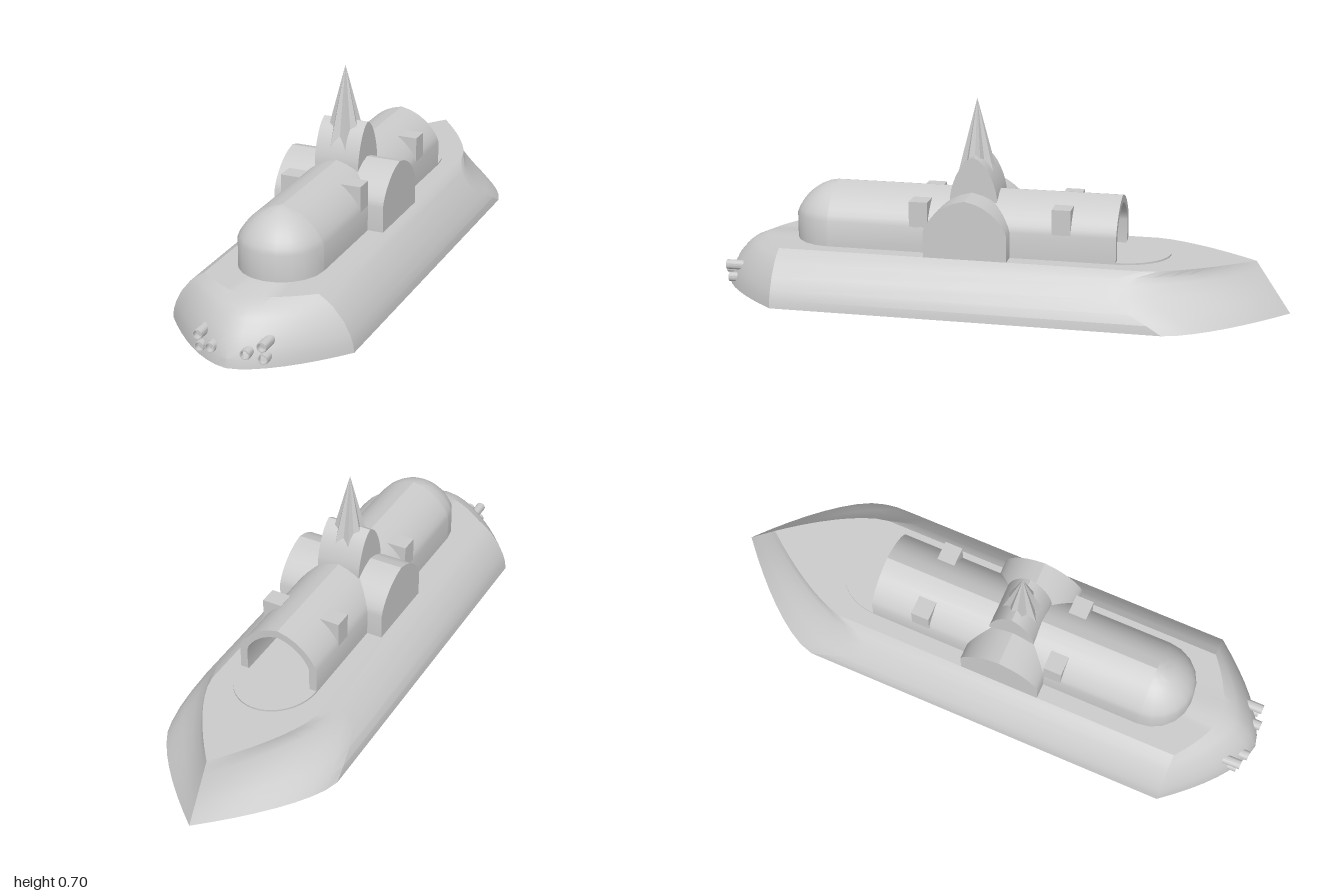
import * as THREE from 'three';
import { toCreasedNormals } from 'three/addons/utils/BufferGeometryUtils.js';

const grey = new THREE.MeshStandardMaterial({ color: 0xcccccc });
const greyDouble = new THREE.MeshStandardMaterial({ color: 0xcccccc, side: THREE.DoubleSide });
const DECK = 0.18;

function part(parent, name, geometry, material = grey) {
  const mesh = new THREE.Mesh(geometry, material);
  mesh.name = name;
  parent.add(mesh);
  return mesh;
}

// Hull levels: height, half width, bow z, z where the stern taper begins
const LEVELS = [
  [0, 0.32, 1.0, -0.6], [0.03, 0.316, 0.995, -0.55], [0.06, 0.306, 0.982, -0.49],
  [0.1, 0.285, 0.96, -0.42], [0.14, 0.253, 0.925, -0.41], [0.16, 0.23, 0.9, -0.44], [DECK, 0.2, 0.85, -0.52],
];

// Closed outline of one hull level, from the bow round by +x to the stern and back
function hullRing([y, w, bow, taper]) {
  const half = [], n = 8;
  const tip = -1 + 0.12 * y / DECK;
  for (let i = 0; i <= n; i++) {
    const u = i / n;
    half.push([w * u, y, 0.75 + (bow - 0.75) * (1 - u ** 1.6)]);
  }
  for (let i = 0; i <= n; i++) {
    const s = i / n;
    half.push([w * (1 - s ** 1.45), y, taper + (tip - taper) * s]);
  }
  const mirrored = half.slice(1, -1).reverse().map(([x, py, z]) => [-x, py, z]);
  return [...half, ...mirrored];
}

function hullGeometry() {
  const rings = LEVELS.map(hullRing);
  const n = rings[0].length, top = (rings.length - 1) * n;
  const positions = rings.flat(2), index = [];
  const low = rings.length * n, high = low + 1;
  positions.push(0, 0, 0, 0, DECK, 0);
  for (let i = 0; i < n; i++) {
    const j = (i + 1) % n;
    for (let r = 0; r < top; r += n) index.push(r + i, r + j, r + n + j, r + i, r + n + j, r + n + i);
    index.push(high, top + i, top + j, low, j, i);
  }
  const g = new THREE.BufferGeometry();
  g.setAttribute('position', new THREE.Float32BufferAttribute(positions, 3));
  g.setIndex(index);
  return toCreasedNormals(g, 0.45);
}

// Right half of the slightly pointed roof curve, spring line to apex
function archHalf(w, spring, apex) {
  return [[1, 0], [0.95, 0.17], [0.87, 0.33], [0.76, 0.5], [0.62, 0.66], [0.46, 0.8], [0.25, 0.92], [0, 1]]
    .map(([u, v]) => new THREE.Vector2(w * u, spring + (apex - spring) * v));
}

// Full arch outline standing on base
function archPoints(w, base, spring, apex) {
  const half = archHalf(w, spring, apex);
  return [new THREE.Vector2(w, base), ...half,
    ...half.slice(0, -1).reverse().map((p) => new THREE.Vector2(-p.x, p.y)), new THREE.Vector2(-w, base)];
}

function extrude(points, depth) {
  return new THREE.ExtrudeGeometry(new THREE.Shape(points), { depth, bevelEnabled: false });
}

// Arched block running across the ship
function crossBlock(points, halfLength, z) {
  const g = extrude(points, halfLength * 2).translate(0, 0, -halfLength);
  return toCreasedNormals(g.rotateY(Math.PI / 2).translate(0, 0, z), 0.4);
}

// Pleated cone with eight ridges
function spireGeometry(height, radius) {
  const positions = [], n = 16;
  const corner = (i) => {
    const a = (i / n) * Math.PI * 2, r = i % 2 ? radius : radius * 0.78;
    return [r * Math.sin(a), 0, r * Math.cos(a)];
  };
  for (let i = 0; i < n; i++) {
    positions.push(...corner(i), ...corner(i + 1), 0, height, 0);
    positions.push(...corner(i + 1), ...corner(i), 0, 0, 0);
  }
  const g = new THREE.BufferGeometry();
  g.setAttribute('position', new THREE.Float32BufferAttribute(positions, 3));
  g.computeVertexNormals();
  return g;
}

export function createModel() {
  const model = new THREE.Group();
  model.name = 'ship';
  part(model, 'hull', hullGeometry());

  // Vaulted cabin, hollow and open to the stern
  const vault = [...archPoints(0.145, DECK, 0.27, 0.385), ...archPoints(0.118, DECK, 0.265, 0.358).reverse()];
  part(model, 'cabin', toCreasedNormals(extrude(vault, 1.01).translate(0, 0, -0.42), 0.4));

  // Rounded front of the cabin
  const nose = [new THREE.Vector2(0.145, DECK), ...archHalf(0.145, 0.27, 0.385)];
  const noseGeometry = new THREE.LatheGeometry(nose, 10, -Math.PI / 2, Math.PI);
  part(model, 'cabinNose', toCreasedNormals(noseGeometry.translate(0, 0, 0.59), 0.5), greyDouble);

  // Half-round landing at the open end
  const landing = new THREE.CylinderGeometry(0.145, 0.145, 0.006, 20, 1, false, Math.PI / 2, Math.PI);
  landing.scale(1, 1, 1.17).translate(0, DECK + 0.003, -0.42);
  part(model, 'sternLanding', landing, greyDouble);

  // Transept and tower
  part(model, 'transept', crossBlock(archPoints(0.145, DECK, 0.27, 0.385), 0.2, 0.09));
  part(model, 'tower', crossBlock(archPoints(0.082, 0.3, 0.37, 0.508), 0.08, 0.085));
  part(model, 'spire', spireGeometry(0.32, 0.083)).position.set(0, 0.38, 0.088);

  for (const side of [-1, 1]) {
    // Roof dormers
    for (const z of [-0.232, 0.265]) {
      part(model, 'dormer', new THREE.BoxGeometry(0.07, 0.09, 0.065)).position.set(side * 0.11, 0.313, z);
    }
    // Bow tubes: hollow barrels with a recessed bottom
    for (const [x, y, z] of [[0.11, 0.08, 0.975], [0.11, 0.035, 0.967], [0.06, 0.052, 0.99]]) {
      const profile = [[0.017, -0.08], [0.017, 0], [0.0135, 0], [0.0135, -0.02], [0, -0.02]]
        .map(([r, h]) => new THREE.Vector2(r, h));
      const barrel = toCreasedNormals(new THREE.LatheGeometry(profile, 16), 0.6).rotateX(Math.PI / 2);
      part(model, 'bowTube', barrel).position.set(side * x, y, z);
    }
  }
  return model;
}
